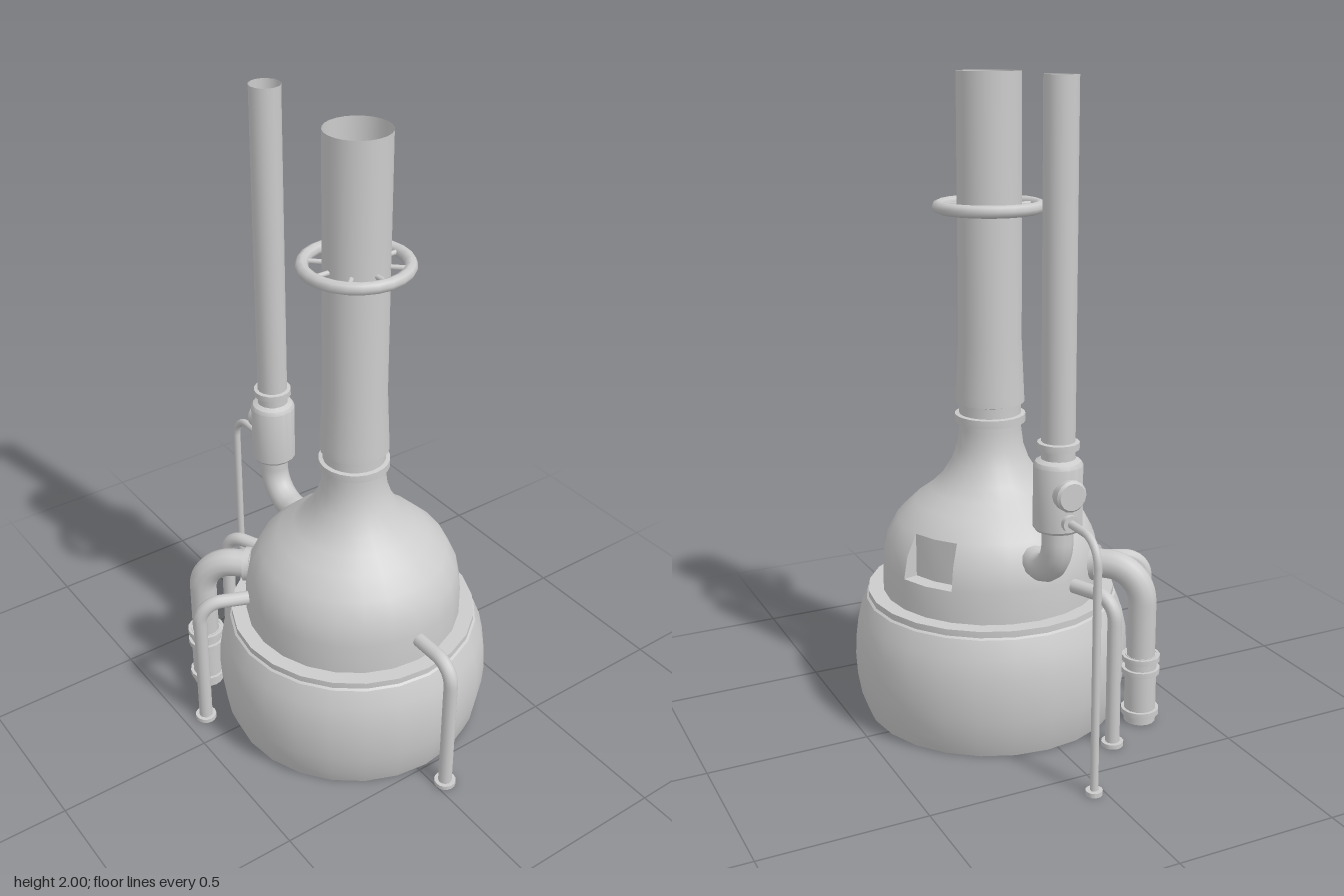
import * as THREE from 'three';
import { toCreasedNormals } from 'three/addons/utils/BufferGeometryUtils.js';

const SIDES = 24;
const material = new THREE.MeshStandardMaterial({ color: 0xcccccc, side: THREE.DoubleSide });
const rad = THREE.MathUtils.degToRad;

function add(parent, name, geometry, x = 0, y = 0, z = 0) {
  const mesh = new THREE.Mesh(geometry, material);
  mesh.name = name;
  mesh.position.set(x, y, z);
  parent.add(mesh);
  return mesh;
}

const toPoints = (profile) => profile.map(([r, y]) => new THREE.Vector2(r, y));

// Turned part from [radius, height] pairs, with sharp edges kept
function turned(profile, sides = SIDES, start = 0, length = Math.PI * 2) {
  return toCreasedNormals(new THREE.LatheGeometry(toPoints(profile), sides, start, length), rad(32));
}

// Closed flat ring or disc
const disc = (r, y0, y1, sides = 16) => turned([[0, y0], [r, y0], [r, y1], [0, y1]], sides);

// Round pipe through three corners with a rounded middle
function elbow(start, corner, end, bend, radius) {
  const [a, b, c] = [start, corner, end].map((p) => new THREE.Vector3(...p));
  const near = (p) => b.clone().add(p.clone().sub(b).setLength(bend));
  const k = 0.448;
  const p = near(a), q = near(c);
  const path = new THREE.CurvePath();
  path.add(new THREE.LineCurve3(a, p));
  path.add(new THREE.CubicBezierCurve3(p, p.clone().lerp(b, 1 - k), q.clone().lerp(b, 1 - k), q));
  path.add(new THREE.LineCurve3(q, c));
  return new THREE.TubeGeometry(path, 48, radius, 12, false);
}

// Domed upper body with a window left out of its back
function buildDome(parent) {
  const profile = [
    [0.345, 0.4], [0.345, 0.5], [0.331, 0.57], [0.297, 0.635], [0.24, 0.69], [0.19, 0.727],
    [0.153, 0.765], [0.122, 0.815], [0.104, 0.865], [0.097, 0.92], [0.097, 1.0],
  ];
  const dome = new THREE.LatheGeometry(toPoints(profile), SIDES);
  const rows = profile.length - 1;
  const kept = Array.from(dome.index.array).filter((_, n) => {
    const face = Math.floor(n / 6);
    const column = Math.floor(face / rows), row = face % rows;
    return !((column === 13 || column === 14) && (row === 1 || row === 2));
  });
  dome.setIndex(kept);
  add(parent, 'dome', dome);

  // Recess behind the window: floor, back wall and two cheeks
  const recess = new THREE.Group();
  recess.name = 'hatchRecess';
  parent.add(recess);
  add(recess, 'hatchBack', turned([[0.345, 0.5], [0.297, 0.5], [0.297, 0.635]], 2, rad(195), rad(30)));
  const cheek = new THREE.Shape(toPoints([[0.297, 0.5], [0.345, 0.5], [0.331, 0.57], [0.297, 0.635]]));
  for (const angle of [195, 225]) {
    add(recess, 'hatchCheek', new THREE.ShapeGeometry(cheek).rotateY(rad(angle - 90)));
  }
}

// Tall open stack with collars and a spoked ring
function buildStack(parent) {
  add(parent, 'neckCollar', turned([[0.097, 0.938], [0.11, 0.94], [0.11, 0.965], [0.097, 0.967]]));
  add(parent, 'stack', turned([[0.097, 1.0], [0.107, 1.003], [0.106, 1.03], [0.098, 1.2], [0.098, 2]]));
  const ring = new THREE.Group();
  ring.name = 'spokedRing';
  ring.position.y = 1.605;
  parent.add(ring);
  add(ring, 'ring', new THREE.TorusGeometry(0.154, 0.019, 8, SIDES).rotateX(Math.PI / 2));
  for (let i = 0; i < 4; i++) {
    add(ring, 'spoke', new THREE.CylinderGeometry(0.008, 0.008, 0.3, 8).rotateX(Math.PI / 2).rotateY(i * Math.PI / 4));
  }
}

// Pipes leaving the dome sideways and dropping to the floor; local +z points outward
function buildDrops(parent) {
  for (const angle of [90, -22.5, -67.5]) {
    const drop = new THREE.Group();
    drop.name = 'drainPipe';
    drop.rotation.y = rad(angle);
    parent.add(drop);
    add(drop, 'pipe', elbow([0, 0.478, 0.33], [0, 0.478, 0.5], [0, 0, 0.5], 0.07, 0.022));
    add(drop, 'foot', disc(0.034, 0, 0.014), 0, 0, 0.5);
  }
  const main = new THREE.Group();
  main.name = 'mainOutlet';
  main.rotation.y = rad(-45);
  parent.add(main);
  add(main, 'outletPipe', elbow([0, 0.51, 0.32], [0, 0.51, 0.5], [0, 0, 0.5], 0.11, 0.045));
  const collar = disc(0.056, 0, 0.02);
  add(main, 'outletCollar', collar, 0, 0.51, 0.335).rotation.x = Math.PI / 2;
  for (const y of [0.205, 0.163, 0.025]) add(main, 'outletFlange', disc(0.06, y, y + 0.018), 0, 0, 0.5);
  add(main, 'outletSleeve', turned([[0.05, 0], [0.05, 0.225]], 16), 0, 0, 0.5);
}

// Slim side column with its vessel, feed elbow and thin overflow pipe
function buildColumn(parent) {
  const column = new THREE.Group();
  column.name = 'sideColumn';
  column.position.x = -0.452;
  parent.add(column);
  add(column, 'feedElbow', elbow([0, 0.75, 0], [0, 0.58, 0], [0.185, 0.58, 0], 0.11, 0.046));
  add(column, 'vessel', turned([
    [0.046, 0.725], [0.066, 0.73], [0.072, 0.738], [0.072, 0.922], [0.066, 0.934], [0.05, 0.942],
  ], 16));
  add(column, 'columnPipe', turned([[0.049, 0.935], [0.049, 2]], 16));
  add(column, 'columnCollar', turned([[0.049, 0.968], [0.061, 0.97], [0.061, 0.99], [0.049, 0.992]], 16));
  add(column, 'sidePort', turned([[0, -0.05], [0.047, -0.05], [0.047, 0.038], [0.04, 0.046], [0, 0.046]], 16)
    .rotateZ(Math.PI / 2), -0.045, 0.85, 0);
  add(column, 'overflowCollar', disc(0.025, -0.008, 0.012).rotateZ(Math.PI / 2), -0.072, 0.768, 0);
  add(column, 'overflowPipe', elbow([-0.05, 0.768, 0], [-0.236, 0.768, 0], [-0.236, 0, 0], 0.075, 0.012));
  add(column, 'overflowFoot', disc(0.025, 0, 0.014), -0.236, 0, 0);
}

export function createModel() {
  const model = new THREE.Group();
  model.name = 'still';
  const still = new THREE.Group();
  still.name = 'stillBody';
  still.position.set(0.087, 0, -0.033);
  model.add(still);

  // Rounded base, open below, with a stepped lip under the dome
  add(still, 'base', turned([
    [0.405, 0], [0.423, 0.05], [0.435, 0.12], [0.439, 0.19], [0.435, 0.26], [0.422, 0.32],
    [0.4, 0.375], [0.393, 0.38], [0.393, 0.4], [0.345, 0.4],
  ]));
  buildDome(still);
  buildStack(still);
  buildDrops(still);
  buildColumn(still);
  return model;
}
